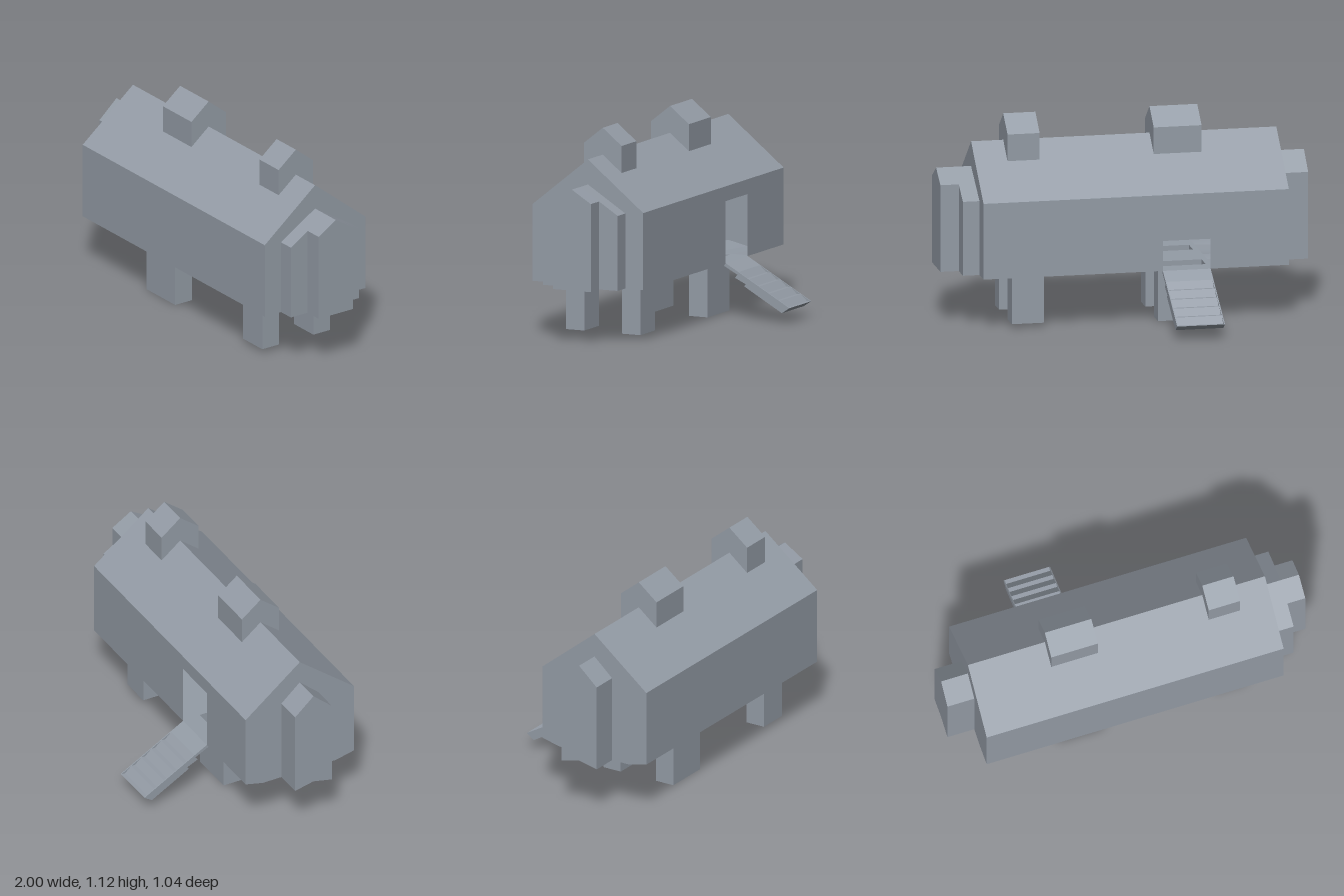
import * as THREE from 'three';
import { mergeGeometries } from 'three/addons/utils/BufferGeometryUtils.js';

const MID = 0.19; // z of the ridge line

export function createModel() {
  const group = new THREE.Group();
  const grey = new THREE.MeshStandardMaterial({ color: 0x949ca6, side: THREE.DoubleSide });
  grey.name = 'slate grey';

  const add = (name, geometry) => {
    const mesh = new THREE.Mesh(geometry, grey);
    mesh.name = name;
    group.add(mesh);
    return mesh;
  };
  const outline = pts => new THREE.Shape(pts.map(p => new THREE.Vector2(...p)));
  const quad = (...corners) => {
    const g = new THREE.BufferGeometry();
    g.setAttribute('position', new THREE.Float32BufferAttribute(corners.flat(), 3));
    g.setIndex([0, 1, 2, 0, 2, 3]);
    g.computeVertexNormals();
    return g;
  };
  // Solid with a (z, y) outline running from x0 to x1
  const prism = (pts, x0, x1) =>
    new THREE.ExtrudeGeometry(outline(pts), { depth: x1 - x0, bevelEnabled: false })
      .rotateY(-Math.PI / 2).translate(x1, 0, 0);
  // Gabled block; notch raises the middle of the underside
  const house = (name, x0, x1, half, base, eave, ridge, notch = base) =>
    add(name, prism([
      [MID - half, base], [MID, notch], [MID + half, base],
      [MID + half, eave], [MID, ridge], [MID - half, eave],
    ], x0, x1));

  // Hollow body
  const x0 = -0.85, x1 = 0.81, zf = 0.52, zb = -0.14, floorY = 0.3, eave = 0.715, top = 0.98;
  const door = { x0: -0.425, x1: -0.165, top: 0.635 };
  add('frontWall', quad([x0, floorY, zf], [x1, floorY, zf], [x1, eave, zf], [x0, eave, zf]));
  add('frontRoof', quad([x0, eave, zf], [x1, eave, zf], [x1, top, MID], [x0, top, MID]));
  add('backRoof', quad([x1, eave, zb], [x0, eave, zb], [x0, top, MID], [x1, top, MID]));
  add('backWall', new THREE.ShapeGeometry(outline([
    [-x1, floorY], [-door.x1, floorY], [-door.x1, door.top], [-door.x0, door.top],
    [-door.x0, floorY], [-x0, floorY], [-x0, eave], [-x1, eave],
  ])).rotateY(Math.PI).translate(0, 0, zb));

  // End walls; the rear one follows the sagging belly
  const belly = [[zf, floorY], [0.41, 0.275], [0.3, 0.275], [MID, floorY],
    [0.075, 0.275], [-0.035, 0.275], [zb, floorY]];
  add('headWall', new THREE.ShapeGeometry(outline([
    [-zf, floorY], [-zb, floorY], [-zb, eave], [-MID, top], [-zf, eave],
  ])).rotateY(Math.PI / 2).translate(x1, 0, 0));
  add('rearWall', new THREE.ShapeGeometry(outline([
    ...belly, [zb, eave], [MID, top], [zf, eave],
  ])).rotateY(-Math.PI / 2).translate(x0, 0, 0));

  // Legs, open at the top into the floor
  const flatX = -0.45;
  const floor = outline([[flatX, zb], [x1, zb], [x1, zf], [flatX, zf]]);
  for (const [label, a, b, foot] of [['rear', -0.42, -0.16, 0], ['front', 0.46, 0.635, 0.022]]) {
    for (const [side, z0, z1] of [['Near', 0.3, 0.41], ['Far', -0.035, 0.075]]) {
      floor.holes.push(new THREE.Path([[a, z0], [a, z1], [b, z1], [b, z0]].map(p => new THREE.Vector2(...p))));
      const box = new THREE.BoxGeometry(b - a, floorY - foot, z1 - z0);
      const index = Array.from(box.index.array);
      index.splice(12, 6); // drop the top face
      box.setIndex(index);
      box.clearGroups();
      add(label + side + 'Leg', box.translate((a + b) / 2, (floorY + foot) / 2, (z0 + z1) / 2));
    }
  }
  add('floor', new THREE.ShapeGeometry(floor).rotateX(Math.PI / 2).translate(0, floorY, 0));

  // Belly sloping down toward the rear
  const strips = [];
  for (let i = 0; i < belly.length - 1; i++) {
    const [za, ya] = belly[i], [zc, yc] = belly[i + 1];
    strips.push(quad([x0, ya, za], [x0, yc, zc], [flatX, floorY, zc], [flatX, floorY, za]));
  }
  add('rearBelly', mergeGeometries(strips));

  // Stepped head, rump and the two humps on the ridge
  house('headBlock', x1, 0.9, 0.223, floorY, 0.705, 0.845);
  house('snout', 0.9, 1, 0.113, floorY, 0.775, 0.845);
  house('rump', -1, x0, 0.112, 0.275, 0.75, 0.85, floorY);
  house('rearHump', -0.42, -0.16, 0.113, 0.885, 1.035, 1.125);
  house('frontHump', 0.46, 0.635, 0.113, 0.885, 1.035, 1.125);

  // Ramp: sawtooth treads held between two thin rails
  const lineY = z => 0.3 + (z + 0.14) * 0.566;
  const under = [[-0.475, 0.055], [-0.25, 0.183], [-0.26, 0.195], [-0.195, 0.225],
    [-0.21, 0.243], [-0.13, 0.285]];
  const rail = [[-0.14, 0.3], [-0.52, 0.085], ...under];
  const treads = [[-0.14, 0.3], [-0.215, lineY(-0.215)]];
  for (let i = 0; i < 5; i++) {
    const z = -0.215 - i * 0.061;
    treads.push([z - 0.038, lineY(z - 0.038) - 0.014], [z - 0.061, lineY(z - 0.061)]);
  }
  add('rampTreads', prism([...treads, ...under], -0.419, -0.171));
  add('rampRightRail', prism(rail, -0.425, -0.419));
  add('rampLeftRail', prism(rail, -0.171, -0.165));

  return group;
}
